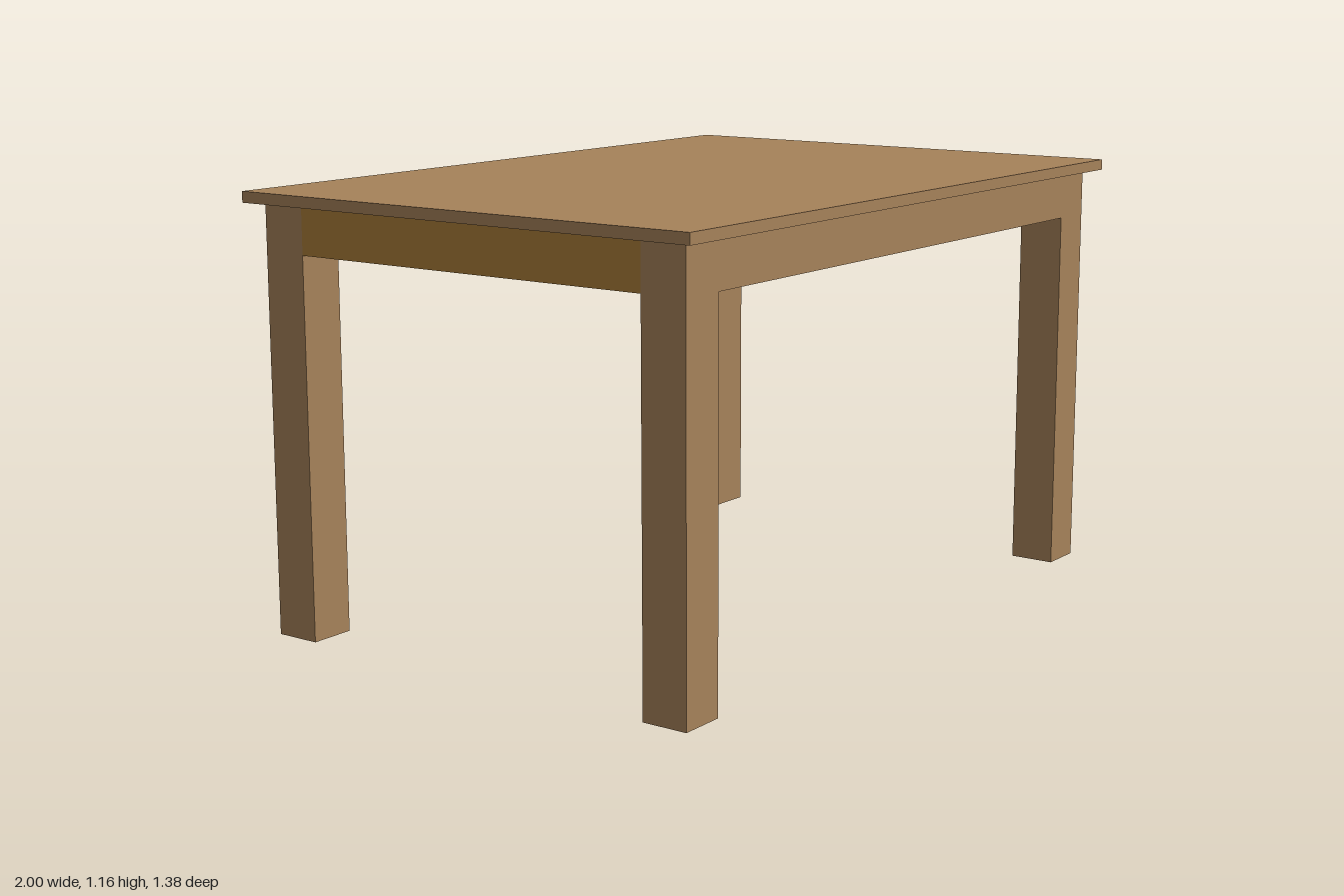
import * as THREE from 'three';

export function createModel() {
  const table = new THREE.Group();
  table.name = 'table';

  const wood = new THREE.MeshStandardMaterial({ color: 0xa6825a });
  wood.name = 'brown wood';
  const golden = new THREE.MeshStandardMaterial({ color: 0xac7e3a });
  golden.name = 'golden wood';

  // Adds a box given its size, centre x and z, and bottom height
  function addBox(name, material, [w, h, d], x, bottom, z) {
    const mesh = new THREE.Mesh(new THREE.BoxGeometry(w, h, d), material);
    mesh.name = name;
    mesh.position.set(x, bottom + h / 2, z);
    table.add(mesh);
  }

  const legHeight = 1.127, legSize = 0.125;
  const outerX = 0.96, outerZ = 0.652;
  const innerX = outerX - legSize, innerZ = outerZ - legSize;
  const apronHeight = 0.125, apronThick = 0.066;
  const apronBottom = legHeight - apronHeight;

  // Top board
  addBox('tableTop', wood, [2, 0.029, 1.384], 0, legHeight, 0);

  // Four square legs
  for (const sx of [-1, 1]) {
    for (const sz of [-1, 1]) {
      const name = (sz > 0 ? 'front' : 'back') + (sx > 0 ? 'Left' : 'Right') + 'Leg';
      addBox(name, wood, [legSize, legHeight, legSize],
        sx * (outerX - legSize / 2), 0, sz * (outerZ - legSize / 2));
    }
  }

  // Aprons between the legs, flush with their outer faces
  for (const s of [-1, 1]) {
    addBox(s > 0 ? 'frontApron' : 'backApron', wood,
      [innerX * 2, apronHeight, apronThick], 0, apronBottom, s * (outerZ - apronThick / 2));
    addBox(s > 0 ? 'leftApron' : 'rightApron', golden,
      [apronThick, apronHeight, innerZ * 2], s * (outerX - apronThick / 2), apronBottom, 0);
  }

  return table;
}
